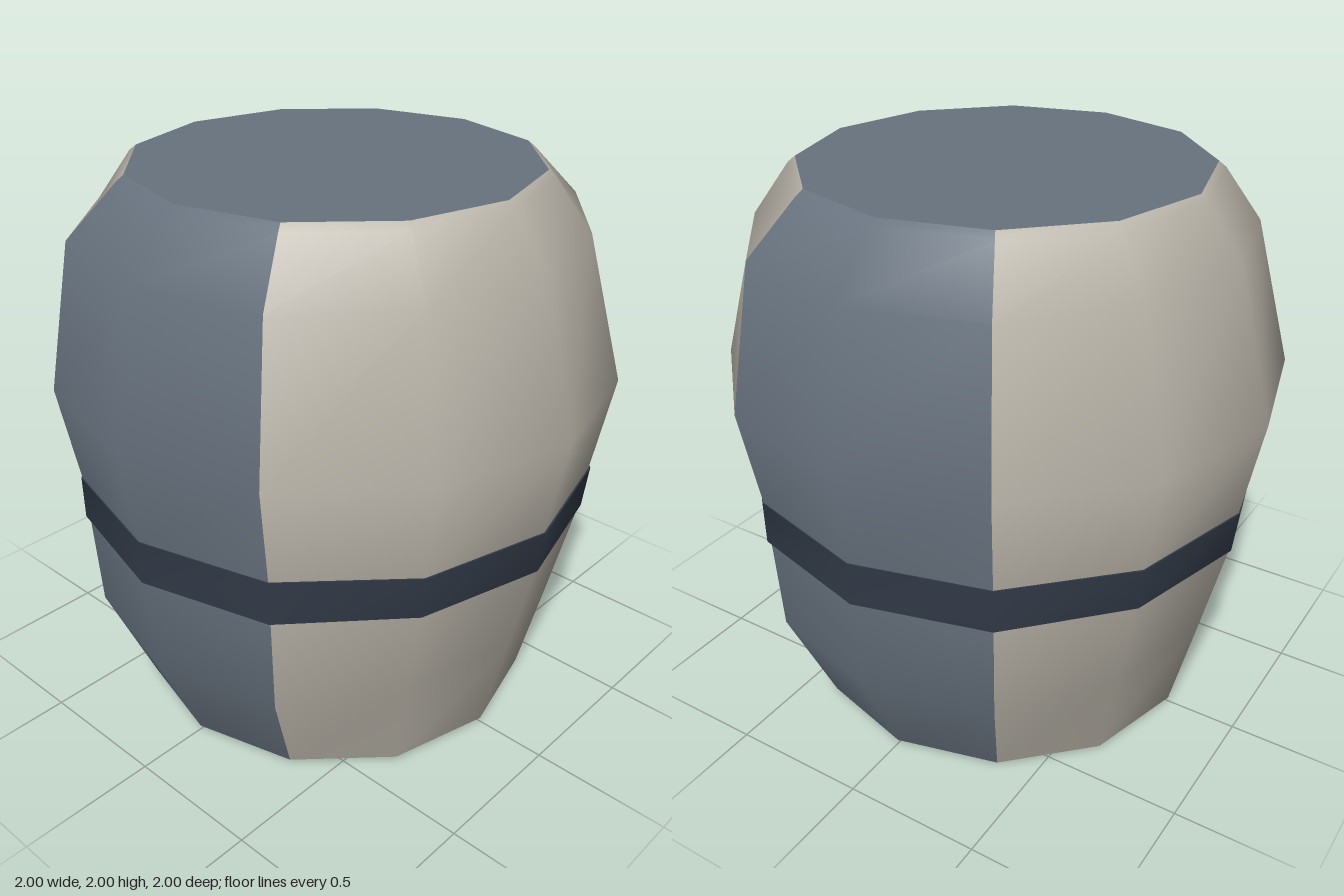
import * as THREE from 'three';

const SIDES = 12;

// Skins rings [y, side radius, front radius] from sector `start` over `count` sectors, listed bottom to top.
function loft(rings, start = 0, count = SIDES) {
  const closed = count === SIDES;
  const cols = closed ? count : count + 1;
  const pos = [], index = [];
  for (const [y, rx, rz] of rings) {
    for (let i = 0; i < cols; i++) {
      const a = ((start + i) / SIDES) * Math.PI * 2;
      const r = Math.abs(Math.cos(a)) > 0.8 ? rx : rz;
      pos.push(r * Math.cos(a), y, r * Math.sin(a));
    }
  }
  for (let j = 0; j < rings.length - 1; j++) {
    for (let i = 0; i < count; i++) {
      const n = (i + 1) % cols;
      const a = j * cols + i, b = j * cols + n;
      index.push(a, a + cols, b, b, a + cols, b + cols);
    }
  }
  const geo = new THREE.BufferGeometry();
  geo.setAttribute('position', new THREE.Float32BufferAttribute(pos, 3));
  geo.setIndex(index);
  geo.computeVertexNormals();
  return geo;
}

export function createModel() {
  const model = new THREE.Group();
  const material = (name, color) => {
    const m = new THREE.MeshStandardMaterial({ color });
    m.name = name;
    return m;
  };
  const cream = material('warm grey', 0xb9b4a9);
  const slate = material('slate blue', 0x68737f);
  const navy = material('dark navy', 0x323a47);
  const add = (name, geo, mat) => {
    const mesh = new THREE.Mesh(geo, mat);
    mesh.name = name;
    model.add(mesh);
  };

  // Barrel walls: broad panels front and back, narrow panels at the sides
  const wall = [
    [0.015, 0.735, 0.735], [0.4, 0.905, 0.828], [0.77, 0.927, 0.915], [0.92, 0.937, 0.933],
    [1.28, 1, 1], [1.8, 0.907, 0.86], [1.98, 0.73, 0.73], [2, 0.705, 0.705],
  ];
  add('frontPanel', loft(wall, 1, 4), cream);
  add('leftPanel', loft(wall, -1, 2), slate);
  add('backPanel', loft(wall, 7, 4), cream);
  add('rightPanel', loft(wall, 5, 2), slate);

  // Flat ends and the chamfer under the base
  add('lid', loft([[2, 0.705, 0.705], [2, 0, 0]]), slate);
  add('baseRim', loft([[0, 0.71, 0.71], [0.015, 0.735, 0.735]]), slate);
  add('base', loft([[0, 0, 0], [0, 0.71, 0.71]]), slate);

  // Thin hoop around the waist
  add('hoop', loft([[0.765, 0.94, 0.921], [0.925, 0.942, 0.94]]), navy);
  add('hoopLowerLip', loft([[0.765, 0.92, 0.905], [0.765, 0.94, 0.921]]), navy);
  add('hoopUpperLip', loft([[0.925, 0.942, 0.94], [0.925, 0.93, 0.925]]), navy);

  return model;
}
